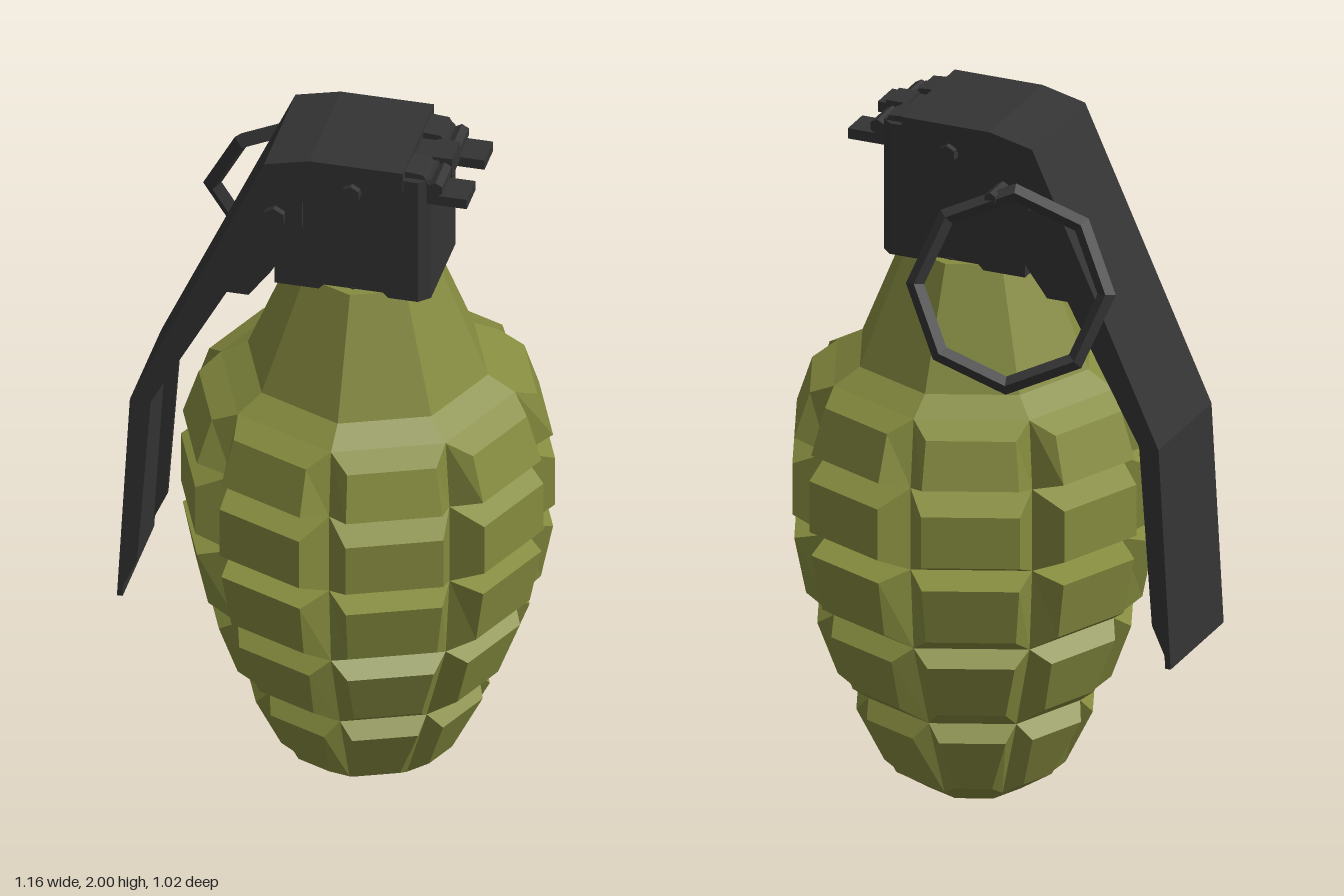
import * as THREE from 'three';

const olive = new THREE.MeshStandardMaterial({ color: 0x868c3f });
olive.name = 'olive';
const charcoal = new THREE.MeshStandardMaterial({ color: 0x343434 });
charcoal.name = 'charcoal';

const rad = THREE.MathUtils.degToRad;

function flat(geometry) {
  const g = geometry.index ? geometry.toNonIndexed() : geometry;
  g.computeVertexNormals();
  return g;
}

function add(parent, name, geometry, material, x = 0, y = 0, z = 0) {
  const mesh = new THREE.Mesh(flat(geometry), material);
  mesh.name = name;
  mesh.position.set(x, y, z);
  parent.add(mesh);
  return mesh;
}

// Side profile in x/y, extruded between z0 and z1
function profile(points, z0, z1) {
  const shape = new THREE.Shape(points.map(([x, y]) => new THREE.Vector2(x, y)));
  return new THREE.ExtrudeGeometry(shape, { depth: z1 - z0, bevelEnabled: false }).translate(0, 0, z0);
}

// Eight-sided body: groove rings with a raised bevelled block in every cell
function bodyGeometry() {
  const pos = [];
  const quad = (a, b, c, d) => pos.push(...a, ...b, ...c, ...a, ...c, ...d);
  const ring = (a, [y, r]) => [r * Math.sin(a), y, r * Math.cos(a)];
  const raised = (a, [y, d, w]) => [
    d * Math.sin(a) + w * Math.cos(a), y, d * Math.cos(a) - w * Math.sin(a)];
  const neckTop = [1.6, 0.2], neckBase = [1.27, 0.335], foot = [0, 0.135];
  // Groove rings: height, radius
  const grooves = [[0.045, 0.205], [0.29, 0.31], [0.55, 0.41], [0.79, 0.43], [1.03, 0.43], [1.225, 0.41]];
  // Block faces: lower and upper edge as height, distance, half width
  const blocks = [
    [[0.08, 0.245, 0.052], [0.245, 0.32, 0.09]],
    [[0.35, 0.37, 0.092], [0.51, 0.425, 0.118]],
    [[0.6, 0.455, 0.122], [0.765, 0.487, 0.132]],
    [[0.835, 0.492, 0.134], [0.985, 0.492, 0.134]],
    [[1.06, 0.487, 0.132], [1.19, 0.445, 0.122]],
  ];
  for (let i = 0; i < 8; i++) {
    const mid = rad(-7.7 + 45 * i), a = mid - Math.PI / 8, b = mid + Math.PI / 8;
    const band = (lo, hi) => quad(ring(a, lo), ring(b, lo), ring(b, hi), ring(a, hi));
    band(foot, grooves[0]);
    band(grooves[5], neckBase);
    band(neckBase, neckTop);
    pos.push(0, 0, 0, ...ring(b, foot), ...ring(a, foot));
    pos.push(0, 1.6, 0, ...ring(a, neckTop), ...ring(b, neckTop));
    blocks.forEach(([lo, hi], k) => {
      const outer = [ring(a, grooves[k]), ring(b, grooves[k]), ring(b, grooves[k + 1]), ring(a, grooves[k + 1])];
      const inner = [
        raised(mid, [lo[0], lo[1], -lo[2]]), raised(mid, lo),
        raised(mid, hi), raised(mid, [hi[0], hi[1], -hi[2]])];
      quad(...inner);
      for (let e = 0; e < 4; e++) {
        const n = (e + 1) % 4;
        quad(outer[e], outer[n], inner[n], inner[e]);
      }
    });
  }
  const g = new THREE.BufferGeometry();
  g.setAttribute('position', new THREE.Float32BufferAttribute(pos, 3));
  return g;
}

export function createModel() {
  const model = new THREE.Group();
  model.name = 'grenade';
  add(model, 'body', bodyGeometry(), olive, 0.075, 0, 0);

  // Fuze assembly, turned about the body axis
  const fuze = new THREE.Group();
  fuze.name = 'fuzeAssembly';
  fuze.position.x = 0.075;
  fuze.rotation.y = rad(-30);
  model.add(fuze);

  // Head block with chamfered front corners
  const plan = new THREE.Shape([
    [-0.22, -0.166], [0.18, -0.166], [0.21, -0.138], [0.21, 0.138], [0.18, 0.166], [-0.22, 0.166],
  ].map(([x, y]) => new THREE.Vector2(x, y)));
  const head = new THREE.ExtrudeGeometry(plan, { depth: 0.385, bevelEnabled: false });
  head.rotateX(-Math.PI / 2);
  add(fuze, 'fuzeHead', head, charcoal, 0, 1.585, 0);
  add(fuze, 'neckCollar', new THREE.CylinderGeometry(0.17, 0.17, 0.04, 8), charcoal, 0, 1.585, 0);

  // Bent lever plate
  add(fuze, 'leverPlate', profile([
    [0.14, 2], [-0.12, 2], [-0.246, 1.97], [-0.62, 1.15], [-0.656, 0.51],
    [-0.64, 0.51], [-0.6, 1.15], [-0.23, 1.945], [-0.11, 1.968], [0.14, 1.968],
  ], -0.177, 0.177), charcoal);

  // Lever side flanges with ears
  const flange = [
    [0.14, 1.995], [-0.12, 1.995], [-0.244, 1.966], [-0.617, 1.15], [-0.653, 0.512],
    [-0.6, 0.63], [-0.562, 1.15], [-0.35, 1.54], [-0.29, 1.54], [-0.23, 1.62],
    [-0.14, 1.78], [-0.14, 1.86], [-0.09, 1.925], [0.02, 1.925], [0.06, 1.94], [0.14, 1.94],
  ];
  for (const s of [-1, 1]) {
    add(fuze, 'leverFlange', profile(flange, s > 0 ? 0.162 : -0.176, s > 0 ? 0.176 : -0.162), charcoal);
    // Hexagonal rivets
    for (const [x, y, r] of [[-0.215, 1.81, 0.032], [0, 1.92, 0.026]]) {
      add(fuze, 'rivet', new THREE.CylinderGeometry(r, r, 0.03, 6).rotateX(Math.PI / 2),
        charcoal, x, y, s * 0.18);
    }
    // Hooked tabs on the front edge
    add(fuze, 'hookTab', profile([
      [0.13, 1.99], [0.19, 1.985], [0.225, 1.925], [0.312, 1.925],
      [0.312, 1.895], [0.2, 1.895], [0.18, 1.95], [0.13, 1.96],
    ], s * 0.1 - 0.048, s * 0.1 + 0.048), charcoal);
  }
  add(fuze, 'crossPin', new THREE.CylinderGeometry(0.022, 0.022, 0.3, 6).rotateX(Math.PI / 2),
    charcoal, 0.225, 1.945, 0);
  add(fuze, 'centreLug', new THREE.BoxGeometry(0.06, 0.06, 0.09), charcoal, 0.215, 1.95, 0);
  add(fuze, 'safetyPin', new THREE.CylinderGeometry(0.018, 0.018, 0.1, 6).rotateX(Math.PI / 2),
    charcoal, -0.16, 1.845, -0.215);

  // Pull ring, an eight-sided loop leaning away from the head
  const ring = add(model, 'pullRing', new THREE.TorusGeometry(0.262, 0.025, 4, 8), charcoal, 0.02, 1.61, -0.385);
  const across = new THREE.Vector3(0.97, 0, 0.25).normalize();
  const up = new THREE.Vector3(-0.085, 0.94, 0.33).normalize();
  ring.quaternion.setFromRotationMatrix(
    new THREE.Matrix4().makeBasis(across, up, across.clone().cross(up)));

  return model;
}
